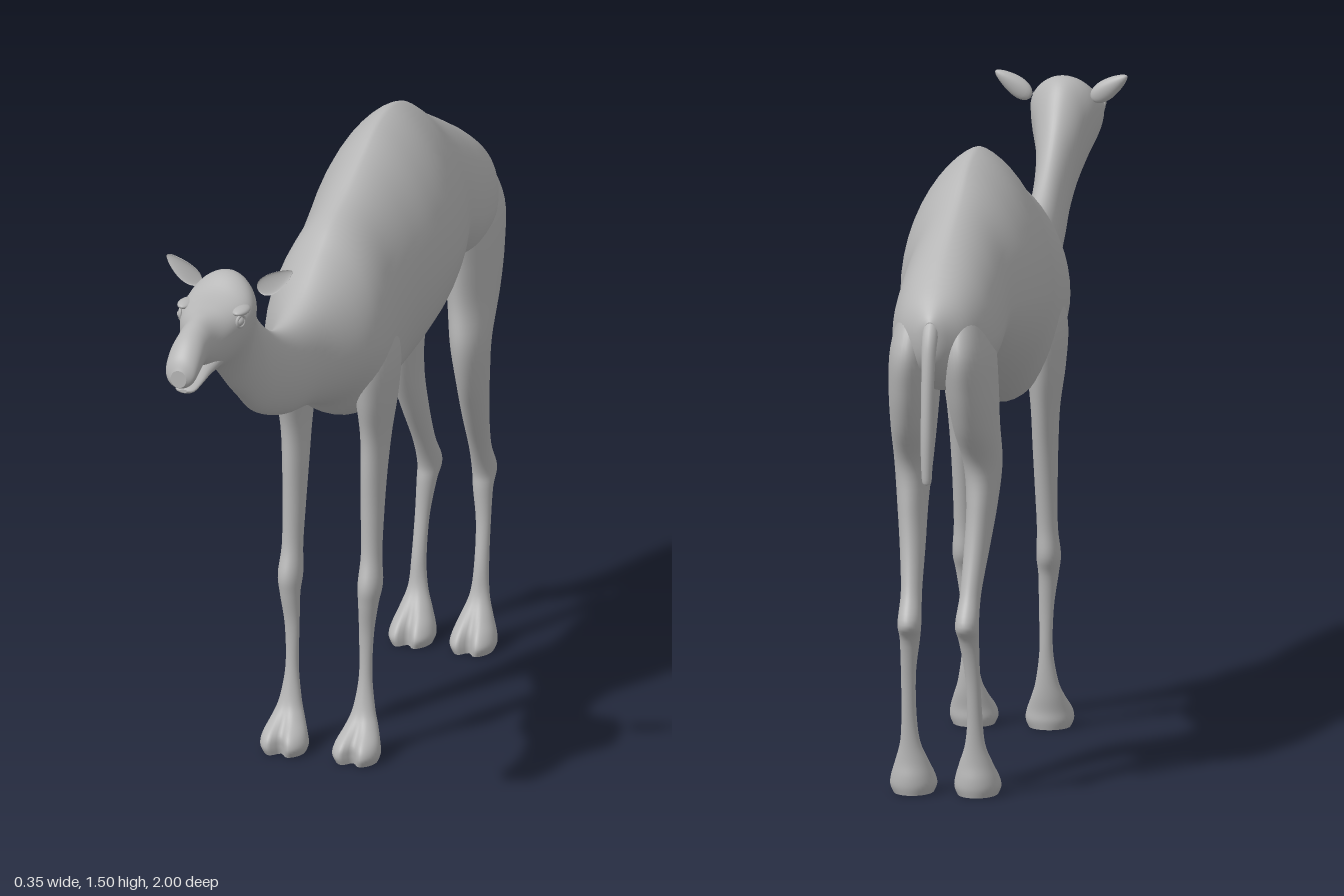
import * as THREE from 'three';

const hide = new THREE.MeshStandardMaterial({ color: 0xb6b6b6 });
hide.name = 'grey hide';

// Catmull-Rom blend through a list of station rows
function smoothRows(rows, steps) {
  const out = [], n = rows.length;
  const at = i => rows[Math.min(n - 1, Math.max(0, i))];
  for (let i = 0; i < n - 1; i++) {
    const [a, b, c, d] = [at(i - 1), at(i), at(i + 1), at(i + 2)];
    for (let k = 0; k < steps; k++) {
      const t = k / steps;
      out.push(b.map((v, j) => 0.5 * (2 * v + (c[j] - a[j]) * t
        + (2 * a[j] - 5 * v + 4 * c[j] - d[j]) * t * t
        + (3 * v - a[j] - 3 * c[j] + d[j]) * t * t * t)));
    }
  }
  out.push(rows[n - 1]);
  return out;
}

// Closed skin over rings; point(row, angle) gives [x, y, z]
function loft(name, rows, sides, steps, point) {
  const rings = smoothRows(rows, steps), pos = [], index = [];
  for (const row of rings) {
    for (let j = 0; j < sides; j++) pos.push(...point(row, j / sides * Math.PI * 2));
  }
  for (let i = 0; i < rings.length - 1; i++) {
    for (let j = 0; j < sides; j++) {
      const k = (j + 1) % sides;
      const a = i * sides + j, b = i * sides + k;
      index.push(a, b, a + sides, b, b + sides, a + sides);
    }
  }
  // End caps
  for (const end of [0, rings.length - 1]) {
    const first = pos.length / 3, c = [0, 0, 0];
    for (let j = 0; j < sides; j++) {
      const p = point(rings[end], j / sides * Math.PI * 2);
      pos.push(...p);
      p.forEach((v, m) => { c[m] += v / sides; });
    }
    pos.push(...c);
    for (let j = 0; j < sides; j++) {
      const a = first + j, b = first + (j + 1) % sides;
      if (end === 0) index.push(first + sides, b, a);
      else index.push(first + sides, a, b);
    }
  }
  const geo = new THREE.BufferGeometry();
  geo.setAttribute('position', new THREE.Float32BufferAttribute(pos, 3));
  geo.setIndex(index);
  geo.computeVertexNormals();
  const mesh = new THREE.Mesh(geo, hide);
  mesh.name = name;
  return mesh;
}

// Row: z, top, bottom, half width, height of widest point, upper power, lower power
const trunkPoint = ([z, top, bot, w, mid, pu, pl], a) => {
  const c = Math.cos(a), s = Math.sin(a);
  const x = w * Math.sign(c) * Math.pow(Math.abs(c), s > 0 ? pu : pl);
  return [x, mid + s * (s > 0 ? top - mid : mid - bot), z];
};

// Row: y, front z, back z, centre x, half width, toe cleft depth
const limbPoint = side => ([y, zf, zb, xc, w, cleft], a) => {
  const d = Math.min(a, Math.PI * 2 - a);
  const z = (zf + zb) / 2 + (zf - zb) / 2 * Math.cos(a) - cleft * Math.exp(-((d / 0.3) ** 2));
  return [side * xc + w * Math.sin(a), y, z];
};

const rump = [
  [-0.945, 1.185, 1.13, 0.015, 1.16, 1, 1],
  [-0.93, 1.205, 1.08, 0.04, 1.15, 1, 1],
  [-0.88, 1.25, 1.03, 0.088, 1.14, 1, 1],
  [-0.8, 1.305, 0.99, 0.12, 1.12, 1.1, 1],
  [-0.7, 1.36, 0.985, 0.13, 1.13, 1.2, 1],
  [-0.6, 1.412, 1.015, 0.132, 1.16, 1.25, 1],
];
const barrel = [
  [-0.5, 1.472, 0.97, 0.16, 1.16, 1.4, 0.95],
  [-0.4, 1.497, 0.92, 0.175, 1.15, 1.4, 0.95],
  [-0.3, 1.48, 0.878, 0.17, 1.14, 1.4, 0.95],
  [-0.2, 1.43, 0.847, 0.155, 1.12, 1.3, 0.95],
  [-0.1, 1.378, 0.82, 0.147, 1.08, 1.2, 0.95],
  [0, 1.335, 0.85, 0.15, 1.06, 1.2, 1],
  [0.08, 1.28, 0.9, 0.135, 1.06, 1.2, 1.1],
];
const neck = [
  [0.2, 1.2, 0.94, 0.08, 1.06, 1, 1],
  [0.3, 1.178, 0.955, 0.058, 1.065, 1, 1],
  [0.4, 1.2, 0.985, 0.048, 1.09, 1, 1],
  [0.5, 1.265, 1.03, 0.044, 1.14, 1, 1],
  [0.58, 1.345, 1.09, 0.046, 1.24, 1, 1],
];
const head = [
  [0.64, 1.43, 1.135, 0.06, 1.33, 1, 1.2],
  [0.69, 1.452, 1.18, 0.08, 1.37, 1, 1.4],
  [0.75, 1.417, 1.225, 0.087, 1.365, 0.9, 1.4],
  [0.81, 1.403, 1.243, 0.07, 1.35, 0.9, 1.2],
  [0.86, 1.397, 1.268, 0.048, 1.335, 1, 1],
  [0.905, 1.388, 1.285, 0.041, 1.335, 1, 0.8],
  [0.95, 1.368, 1.272, 0.042, 1.32, 1, 0.8],
  [0.985, 1.335, 1.258, 0.038, 1.295, 1, 0.9],
  [1, 1.305, 1.262, 0.02, 1.283, 1, 1],
];
const lowerJaw = [
  [0.8, 1.3, 1.245, 0.045, 1.28, 1, 1],
  [0.87, 1.285, 1.246, 0.036, 1.265, 1, 1],
  [0.92, 1.263, 1.24, 0.031, 1.252, 1, 1],
  [0.955, 1.251, 1.234, 0.025, 1.243, 1, 1],
  [0.966, 1.246, 1.238, 0.01, 1.242, 1, 1],
];
const frontLeg = [
  [0, 0.112, 0.004, 0.092, 0.05, 0.03], [0.02, 0.12, 0, 0.092, 0.058, 0.035],
  [0.045, 0.108, 0, 0.093, 0.054, 0.025], [0.08, 0.065, -0.005, 0.094, 0.04, 0.008],
  [0.12, 0.038, -0.008, 0.094, 0.027, 0], [0.2, 0.02, -0.011, 0.094, 0.016, 0],
  [0.3, 0.018, -0.014, 0.095, 0.018, 0], [0.38, 0.03, -0.025, 0.1, 0.024, 0],
  [0.43, 0.034, -0.045, 0.102, 0.029, 0], [0.5, 0.014, -0.046, 0.101, 0.025, 0],
  [0.6, 0.01, -0.06, 0.1, 0.027, 0], [0.7, 0.012, -0.08, 0.1, 0.03, 0],
  [0.8, 0.016, -0.105, 0.102, 0.034, 0], [0.9, 0.04, -0.13, 0.104, 0.045, 0],
  [1, 0.05, -0.14, 0.1, 0.054, 0], [1.12, 0.03, -0.12, 0.085, 0.05, 0],
];
const hindLeg = [
  [0, -0.69, -0.81, 0.078, 0.048, 0.03], [0.02, -0.685, -0.815, 0.078, 0.056, 0.035],
  [0.045, -0.7, -0.815, 0.078, 0.052, 0.025], [0.08, -0.735, -0.81, 0.078, 0.04, 0.008],
  [0.13, -0.768, -0.81, 0.079, 0.024, 0], [0.2, -0.78, -0.817, 0.08, 0.018, 0],
  [0.3, -0.798, -0.832, 0.078, 0.018, 0], [0.385, -0.802, -0.855, 0.072, 0.024, 0],
  [0.43, -0.802, -0.885, 0.07, 0.028, 0], [0.5, -0.772, -0.845, 0.072, 0.025, 0],
  [0.6, -0.715, -0.812, 0.078, 0.03, 0], [0.7, -0.665, -0.795, 0.084, 0.036, 0],
  [0.8, -0.64, -0.795, 0.084, 0.045, 0], [0.9, -0.648, -0.865, 0.076, 0.053, 0],
  [1, -0.643, -0.912, 0.07, 0.058, 0], [1.1, -0.645, -0.932, 0.064, 0.057, 0],
  [1.2, -0.69, -0.88, 0.055, 0.042, 0],
];
const tail = [
  [0.797, -0.976, -0.99, 0, 0.005, 0], [0.81, -0.969, -0.997, 0, 0.012, 0],
  [0.9, -0.968, -1, 0, 0.015, 0], [1, -0.962, -0.993, 0, 0.015, 0],
  [1.1, -0.943, -0.98, 0, 0.017, 0], [1.15, -0.92, -0.965, 0, 0.019, 0],
  [1.19, -0.9, -0.94, 0, 0.018, 0],
];

function ellipsoid(name, pos, size) {
  const mesh = new THREE.Mesh(new THREE.SphereGeometry(1, 20, 14), hide);
  mesh.name = name;
  mesh.position.set(...pos);
  mesh.scale.set(...size);
  return mesh;
}

// Leaf-shaped ear, hollowed at the front
function ear(side) {
  const geo = new THREE.SphereGeometry(1, 24, 16), p = geo.attributes.position;
  for (let i = 0; i < p.count; i++) {
    const x = p.getX(i), y = p.getY(i), z = p.getZ(i), u = x * side;
    p.setXYZ(i, x * 0.053, y * 0.023 * (1 - 0.35 * u), (z > 0 ? z * -0.3 : z) * 0.018 - u * u * 0.006);
  }
  geo.computeVertexNormals();
  const mesh = new THREE.Mesh(geo, hide);
  mesh.name = 'ear';
  mesh.position.set(side * 0.117, 1.432, 0.668);
  mesh.rotation.z = side * 0.62;
  return mesh;
}

export function createModel() {
  const model = new THREE.Group();
  model.name = 'camel';
  model.add(loft('bodyNeckAndHead', [...rump, ...barrel, ...neck, ...head], 48, 6, trunkPoint));
  model.add(loft('lowerJaw', lowerJaw, 24, 4, trunkPoint));
  model.add(loft('tail', tail, 16, 5, limbPoint(1)));
  for (const side of [1, -1]) {
    model.add(loft('frontLeg', frontLeg, 40, 5, limbPoint(side)));
    model.add(loft('hindLeg', hindLeg, 40, 5, limbPoint(side)));
    model.add(ear(side));
    model.add(ellipsoid('brow', [side * 0.07, 1.388, 0.765], [0.02, 0.01, 0.035]));
    model.add(ellipsoid('eye', [side * 0.073, 1.368, 0.787], [0.012, 0.012, 0.014]));
    // Eyelid ring
    const lid = new THREE.Mesh(new THREE.TorusGeometry(0.014, 0.004, 8, 20), hide);
    lid.name = 'eyelid';
    lid.position.set(side * 0.077, 1.368, 0.787);
    lid.rotation.y = side * 1.25;
    model.add(lid);
  }
  return model;
}
